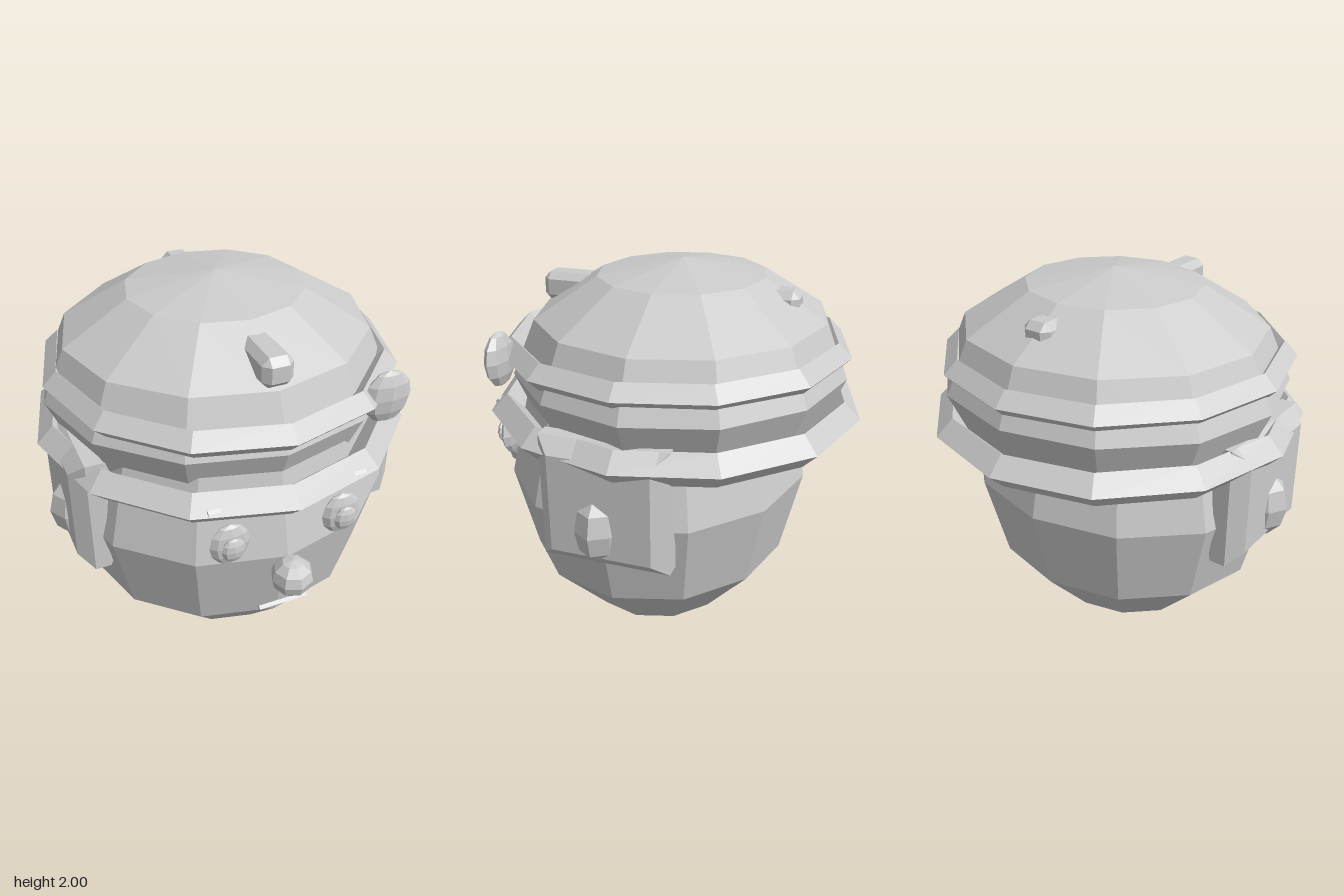
import * as THREE from 'three';
import { ConvexGeometry } from 'three/addons/geometries/ConvexGeometry.js';

const grey = new THREE.MeshStandardMaterial({ color: 0xcccccc, flatShading: true });

export function createModel() {
  const model = new THREE.Group();

  const add = (name, geometry, x, y, z) => {
    const mesh = new THREE.Mesh(geometry, grey);
    mesh.name = name;
    mesh.position.set(x, y, z);
    model.add(mesh);
    return mesh;
  };

  // Faceted ellipsoid with radii rx, ry, rz
  const ellipsoid = (rx, ry, rz, sides = 8) =>
    new THREE.SphereGeometry(1, sides, 6).scale(rx, ry, rz);

  // Horizontal ring with a diamond-shaped section
  const ring = (radius, tube) =>
    new THREE.TorusGeometry(radius, tube, 4, 12).rotateX(Math.PI / 2);

  // Thin four-sided rod lying along x
  const rod = (length) =>
    new THREE.CylinderGeometry(0.015, 0.015, length, 4).rotateZ(Math.PI / 2);

  // Box with every edge cut off by c
  const chamferedBox = (w, h, d, c) => {
    const points = [];
    for (const sx of [-1, 1]) for (const sy of [-1, 1]) for (const sz of [-1, 1]) {
      const [x, y, z] = [w / 2, h / 2, d / 2];
      points.push(
        new THREE.Vector3(sx * x, sy * (y - c), sz * (z - c)),
        new THREE.Vector3(sx * (x - c), sy * y, sz * (z - c)),
        new THREE.Vector3(sx * (x - c), sy * (y - c), sz * z));
    }
    return new ConvexGeometry(points);
  };

  // Head and cap
  add('head', ellipsoid(0.865, 0.9, 0.785, 12), 0, 0.9, 0.055);
  add('capDome', ellipsoid(0.9, 0.54, 0.85, 12), 0, 1.46, -0.06);
  add('capBrim', ring(0.878, 0.085), 0, 1.255, -0.03);
  add('capBand', ring(0.83, 0.07), 0, 1.57, -0.025);
  add('capBar', chamferedBox(0.155, 0.15, 1.34, 0.035), 0, 1.81, 0.01);
  add('capBadge', ellipsoid(0.127, 0.137, 0.05), 0.56, 1.573, 0.683);

  // Ear flap: rectangle extruded along x with bevelled faces
  const bevel = 0.07;
  const hw = 0.32 - bevel, hh = 0.318 - bevel;
  const flapShape = new THREE.Shape([
    new THREE.Vector2(-hw, -hh), new THREE.Vector2(hw, -hh),
    new THREE.Vector2(hw, hh), new THREE.Vector2(-hw, hh)]);
  const flap = new THREE.ExtrudeGeometry(flapShape, {
    depth: 0.08, bevelEnabled: true, bevelSize: bevel, bevelThickness: bevel, bevelSegments: 1,
  }).translate(0, 0, -0.04).rotateY(Math.PI / 2);

  // Paired parts
  for (const [side, s] of [['left', 1], ['right', -1]]) {
    add(side + 'EarFlap', flap, s * 0.785, 1.022, 0.045);
    add(side + 'Ear', ellipsoid(0.18, 0.205, 0.125), s * 0.785, 0.905, 0.075);
    add(side + 'Eye', ellipsoid(0.102, 0.115, 0.037), s * 0.29, 1.055, 0.808);
    add(side + 'Pupil', ellipsoid(0.06, 0.065, 0.027), s * 0.29, 1.055, 0.853);
    add(side + 'Eyebrow', rod(0.22), s * 0.29, 1.27, 0.812);
  }

  // Nose and mouth
  add('nose', ellipsoid(0.105, 0.102, 0.105), 0, 0.82, 0.89);
  add('mouth', rod(0.26), 0, 0.575, 0.81);

  return model;
}
